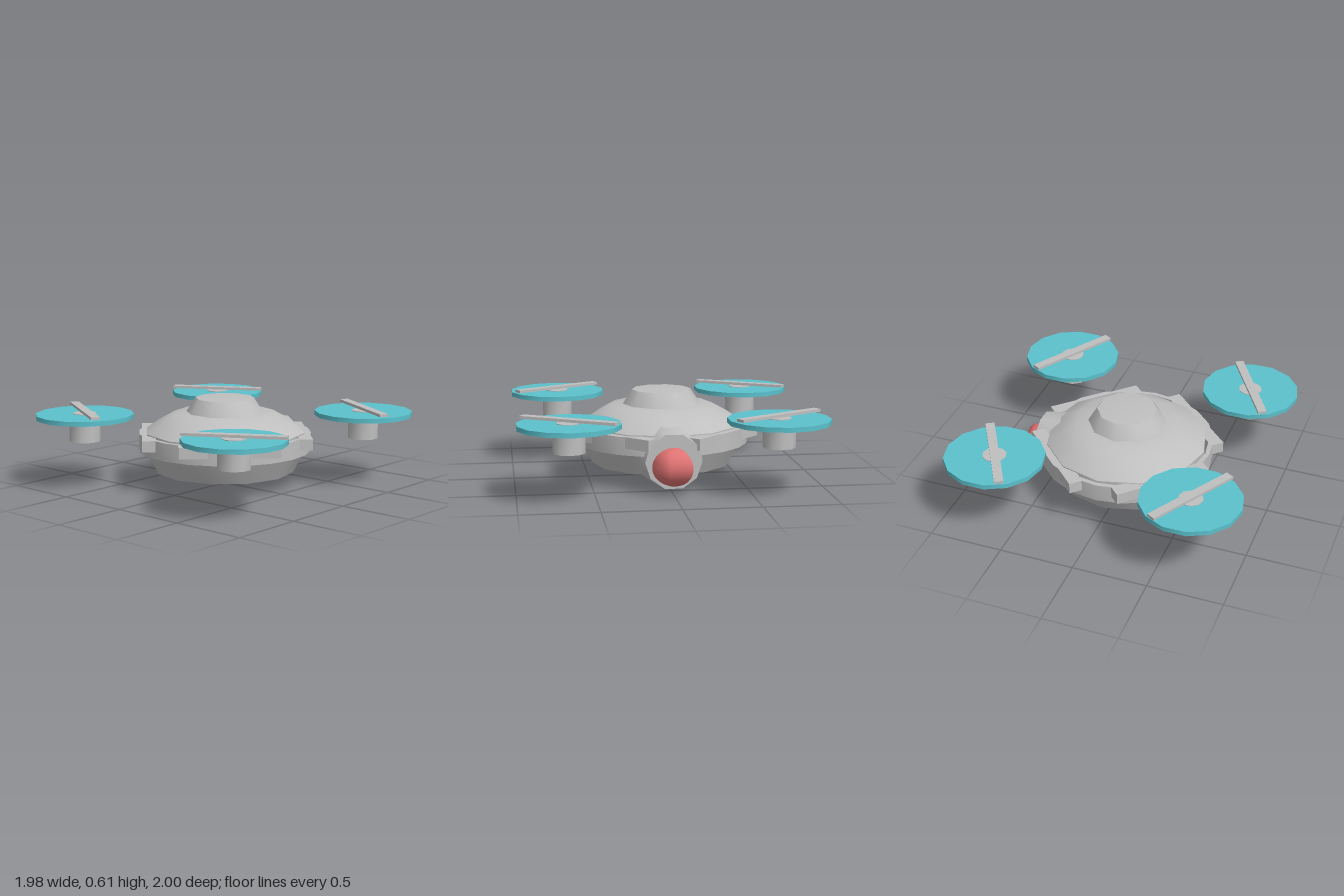
import * as THREE from 'three';
import { toCreasedNormals } from 'three/addons/utils/BufferGeometryUtils.js';

const mat = (name, color) => {
  const m = new THREE.MeshStandardMaterial({ color });
  m.name = name;
  return m;
};

export function createModel() {
  const grey = mat('shell grey', 0xbfbfbf);
  const teal = mat('rotor teal', 0x5bc1cc);
  const red = mat('lens red', 0xe27474);
  const model = new THREE.Group();
  model.name = 'drone';

  const add = (parent, name, geometry, material, x = 0, y = 0, z = 0) => {
    const mesh = new THREE.Mesh(geometry, material);
    mesh.name = name;
    mesh.position.set(x, y, z);
    parent.add(mesh);
    return mesh;
  };
  const crease = (g, angle = 0.6) => toCreasedNormals(g, angle);
  // Profile of [radius, height] pairs, from bottom to top
  const lathe = (profile, sides, start = 0, angle = 0.6) => crease(
    new THREE.LatheGeometry(profile.map(p => new THREE.Vector2(...p)), sides, start), angle);
  const drum = (rTop, rBottom, y0, y1, sides, angle = 0.8) =>
    crease(new THREE.CylinderGeometry(rTop, rBottom, y1 - y0, sides).translate(0, (y0 + y1) / 2, 0), angle);

  // Round body: tapered hull, straight waist, shallow dome and cupola
  add(model, 'lowerHull', lathe([[0, 0.09], [0.47, 0.09], [0.545, 0.235]], 12), grey);
  add(model, 'waist', lathe([[0.545, 0.235], [0.545, 0.362]], 12), grey);
  add(model, 'dome', lathe([[0.545, 0.362], [0.45, 0.427], [0.345, 0.485], [0.2, 0.492], [0, 0.495]], 12), grey);
  add(model, 'cupola', lathe([[0.262, 0.487], [0.2, 0.585], [0, 0.602]], 10, Math.PI / 2), grey);

  // Hollow bumper ring standing slightly off the body
  add(model, 'bumperRing', lathe(
    [[0.555, 0.235], [0.585, 0.235], [0.585, 0.355], [0.555, 0.355], [0.555, 0.235]], 20), grey);

  // Four straight bars on the diagonals
  for (let i = 0; i < 4; i++) {
    const bar = add(model, 'diagonalBar',
      new THREE.BoxGeometry(0.66, 0.075, 0.092).translate(0, 0.3175, 0.516), grey);
    bar.rotation.y = Math.PI / 4 + i * Math.PI / 2;
  }

  // Camera housing and lens at the back
  const housing = new THREE.CylinderGeometry(0.184, 0.226, 0.27, 10)
    .rotateY(Math.PI / 10).rotateX(-Math.PI / 2);
  add(model, 'cameraHousing', crease(housing, 0.8), grey, 0, 0.21, -0.48);
  const lens = add(model, 'cameraLens', new THREE.SphereGeometry(0.14, 5, 12), red, 0, 0.178, -0.62);
  lens.scale.y = 0.89;
  lens.rotation.y = Math.PI;

  // Four rotors, mirrored in x and z
  for (const sx of [-1, 1]) for (const sz of [-1, 1]) {
    const rotor = new THREE.Group();
    rotor.name = 'rotor';
    rotor.position.set(sx * 0.668, 0, sz * 0.668);
    model.add(rotor);
    add(rotor, 'motor', drum(0.106, 0.106, 0.3, 0.456, 10), grey);
    add(rotor, 'rotorDisc', drum(0.332, 0.332, 0.455, 0.486, 14, 0.6), teal);
    add(rotor, 'hubCap', drum(0.08, 0.08, 0.48, 0.49, 10), grey);
    const blade = add(rotor, 'blade', new THREE.BoxGeometry(0.66, 0.018, 0.06), grey, 0, 0.506, 0);
    blade.rotation.y = sx * sz * Math.PI / 6;
  }
  return model;
}
